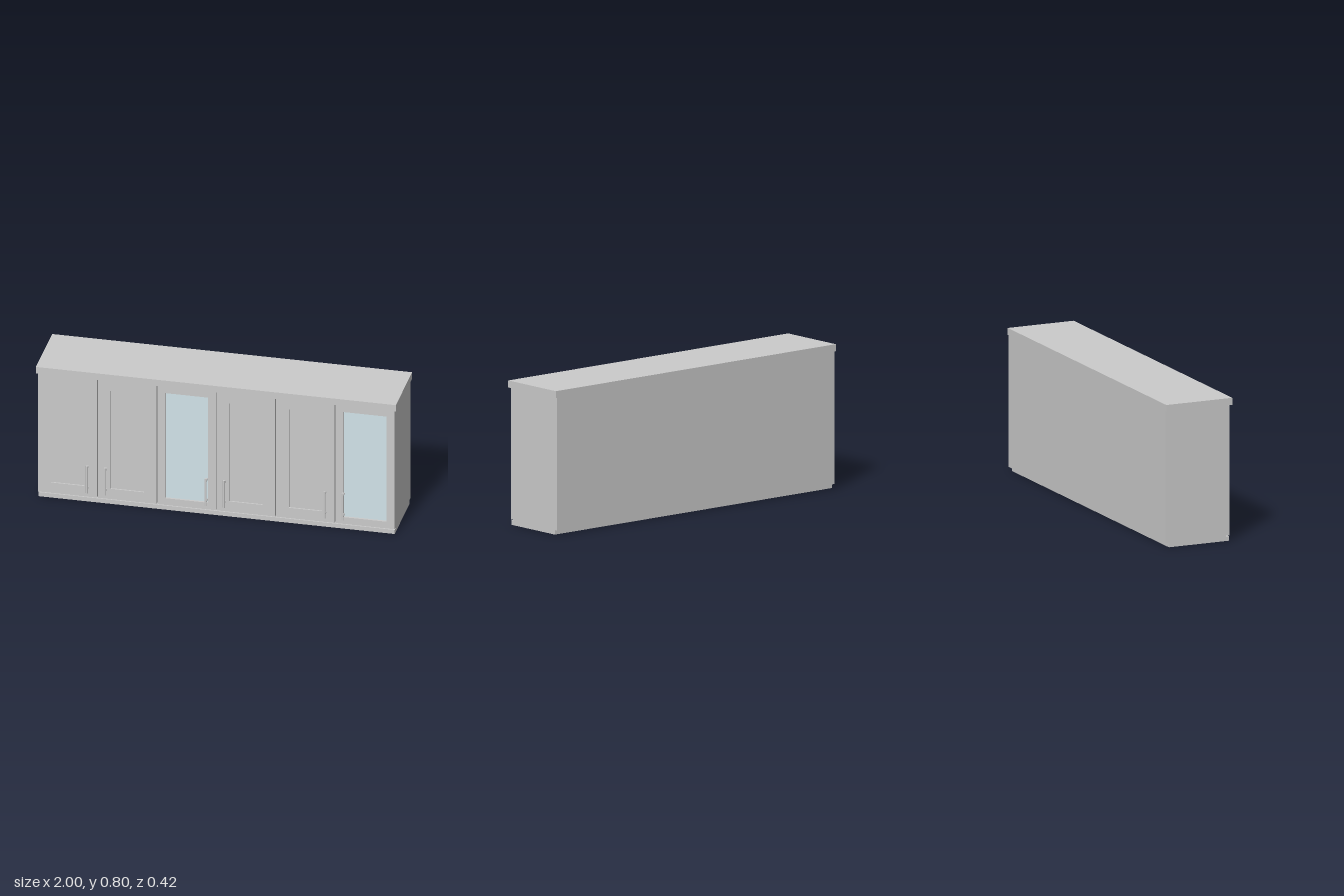
import * as THREE from 'three';

const grey = new THREE.MeshStandardMaterial({ color: 0xcccccc });
const glassBlue = new THREE.MeshStandardMaterial({ color: 0xd2e4ea });

// Box given by its limits on each axis
function box(name, [x0, x1], [y0, y1], [z0, z1], material = grey) {
  const mesh = new THREE.Mesh(new THREE.BoxGeometry(x1 - x0, y1 - y0, z1 - z0), material);
  mesh.name = name;
  mesh.position.set((x0 + x1) / 2, (y0 + y1) / 2, (z0 + z1) / 2);
  return mesh;
}

function rectangle(PathType, x0, x1, y0, y1) {
  return new PathType([[x0, y0], [x1, y0], [x1, y1], [x0, y1]].map(([x, y]) => new THREE.Vector2(x, y)));
}

const BACK = -0.21, CARCASS_FRONT = 0.152, DOOR_FRONT = 0.172;
const DOOR_BOTTOM = 0.03, DOOR_TOP = 0.754;
const HALF = 0.99, BAY = 0.33, GAP = 0.003;

// Framed door with a recessed wooden or glass panel
function door(x0, x1, glazed) {
  const group = new THREE.Group();
  group.name = glazed ? 'glassDoor' : 'panelDoor';
  const margin = glazed ? 0.044 : 0.07;
  const px = [x0 + margin, x1 - margin];
  const py = glazed ? [0.071, 0.713] : [0.093, 0.692];

  const shape = rectangle(THREE.Shape, x0, x1, DOOR_BOTTOM, DOOR_TOP);
  shape.holes.push(rectangle(THREE.Path, ...px, ...py));
  const frame = new THREE.Mesh(
    new THREE.ExtrudeGeometry(shape, { depth: DOOR_FRONT - CARCASS_FRONT, bevelEnabled: false }), grey);
  frame.name = 'doorFrame';
  frame.position.z = CARCASS_FRONT;

  const face = DOOR_FRONT - (glazed ? 0.012 : 0.008);
  group.add(frame, box(glazed ? 'glassPane' : 'doorPanel', px, py, [CARCASS_FRONT, face], glazed ? glassBlue : grey));
  return group;
}

// Bar handle on two posts
function handle(x) {
  const group = new THREE.Group();
  group.name = 'handle';
  const bar = new THREE.Mesh(new THREE.CylinderGeometry(0.006, 0.006, 0.165, 20), grey);
  bar.name = 'handleBar';
  bar.position.set(x, 0.1525, 0.206);
  group.add(bar);
  for (const y of [0.09, 0.215]) {
    const post = new THREE.Mesh(new THREE.CylinderGeometry(0.0045, 0.0045, 0.036, 16), grey);
    post.name = 'handlePost';
    post.rotation.x = Math.PI / 2;
    post.position.set(x, y, 0.186);
    group.add(post);
  }
  return group;
}

export function createModel() {
  const model = new THREE.Group();
  model.name = 'wallCabinet';

  // Carcass: sides, back, floor, top and dividers
  const carcass = new THREE.Group();
  carcass.name = 'carcass';
  const t = 0.018, yBody = [0.025, 0.757], zBody = [BACK, CARCASS_FRONT];
  const inner = [-HALF + t, HALF - t], zInner = [BACK + 0.01, CARCASS_FRONT];
  carcass.add(
    box('rightSide', [-HALF, -HALF + t], yBody, zBody),
    box('leftSide', [HALF - t, HALF], yBody, zBody),
    box('backPanel', inner, yBody, [BACK, BACK + 0.01]),
    box('floorPanel', inner, [0.025, 0.043], zInner),
    box('topPanel', inner, [0.739, 0.757], zInner));
  for (let i = 1; i < 6; i++) {
    const x = -HALF + i * BAY;
    carcass.add(box('divider', [x - t / 2, x + t / 2], [0.043, 0.739], zInner));
  }
  model.add(carcass);

  // Base board, set in at the back, and overhanging top
  model.add(
    box('baseBoard', [-HALF, HALF], [0, 0.025], [-0.19, 0.17]),
    box('worktop', [-1, 1], [0.757, 0.796], [BACK, 0.185]));

  // Six doors; handles sit near the opening edge
  const glazed = [2, 5], handleOnLeft = [0, 2, 4];
  for (let i = 0; i < 6; i++) {
    const x0 = -HALF + i * BAY + (i ? GAP : 0);
    const x1 = -HALF + (i + 1) * BAY - (i < 5 ? GAP : 0);
    model.add(door(x0, x1, glazed.includes(i)));
    model.add(handle(handleOnLeft.includes(i) ? x1 - 0.049 : x0 + 0.046));
  }
  return model;
}
